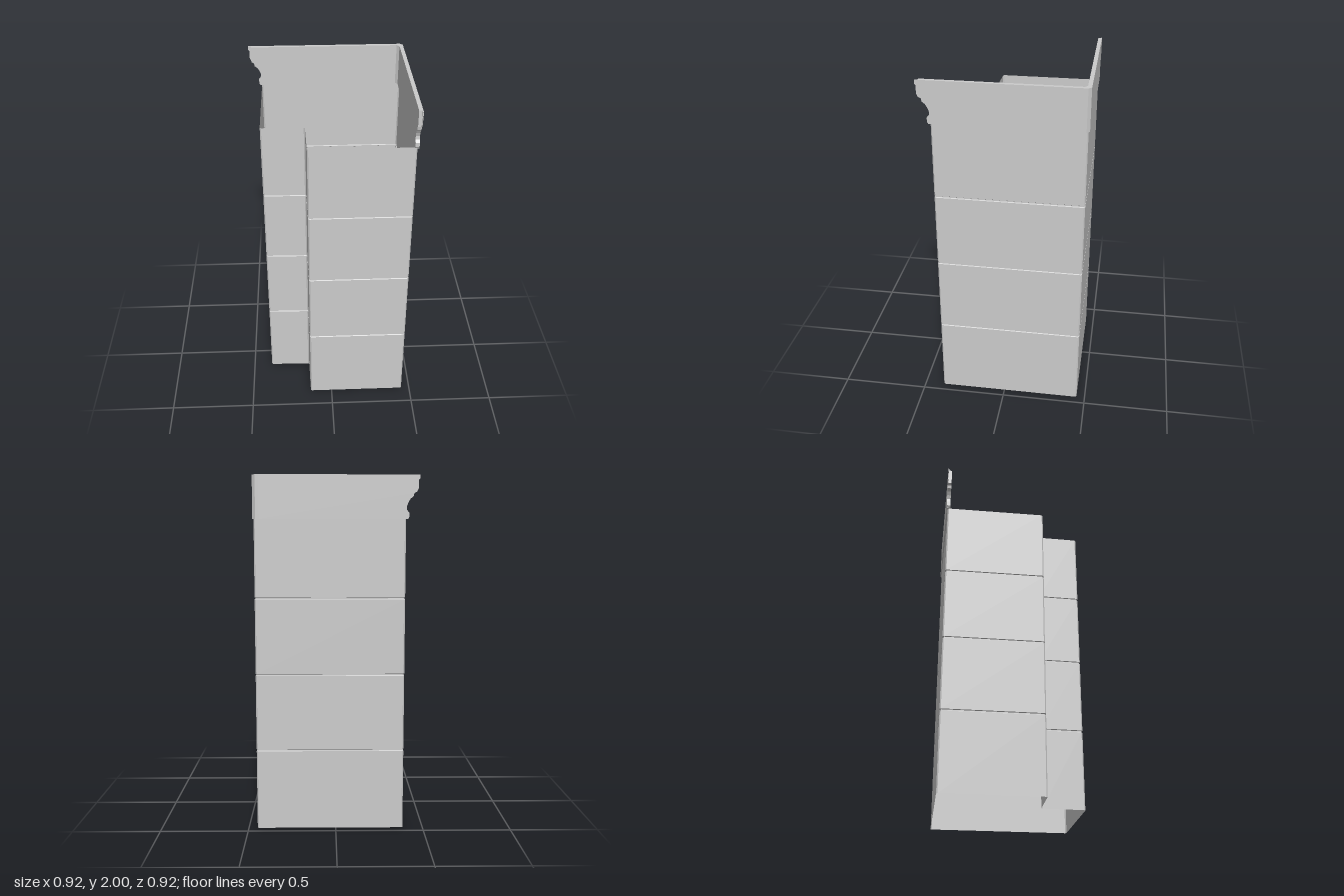
import * as THREE from 'three';

const material = new THREE.MeshStandardMaterial({ color: 0xcccccc, flatShading: true, side: THREE.DoubleSide });
const WALL_TOP = 1.76;

// Stepped footprint [x, z], counterclockwise seen from above
const footprint = [
  [-0.133, 0.386], [0.45, 0.386], [0.45, -0.45], [-0.386, -0.45], [-0.386, 0.132], [-0.138, 0.136],
];

// Replace every corner with a small bevel
function bevelCorners(points, size) {
  const out = [];
  points.forEach((p, i) => {
    const v = new THREE.Vector2(...p);
    const towards = (q) => new THREE.Vector2(...q).sub(v).setLength(size).add(v);
    out.push(towards(points.at(i - 1)), towards(points[(i + 1) % points.length]));
  });
  return out;
}

// Move a closed outline inwards by a distance
function inset(loop, distance) {
  const normal = (a, b) => new THREE.Vector2(a.y - b.y, b.x - a.x).normalize();
  return loop.map((p, i) => {
    const n1 = normal(loop.at(i - 1), p);
    const n2 = normal(p, loop[(i + 1) % loop.length]);
    return p.clone().addScaledVector(n1.clone().add(n2), -distance / (1 + n1.dot(n2)));
  });
}

// Thin open shell through rings at [height, inset]
function shellGeometry(loop, levels) {
  const positions = [];
  const rings = levels.map(([y, d]) => inset(loop, d).map((p) => [p.x, y, p.y]));
  for (let k = 0; k < rings.length - 1; k++) {
    for (let i = 0; i < loop.length; i++) {
      const j = (i + 1) % loop.length;
      const [a, b, c, d] = [rings[k][i], rings[k][j], rings[k + 1][j], rings[k + 1][i]];
      positions.push(...a, ...b, ...c, ...a, ...c, ...d);
    }
  }
  const geometry = new THREE.BufferGeometry();
  geometry.setAttribute('position', new THREE.Float32BufferAttribute(positions, 3));
  geometry.computeVertexNormals();
  return geometry;
}

// Moulded free end of a crown panel, [x, y] from top to bottom
const crownProfile = [
  [-0.459, 2], [-0.459, 1.978], [-0.452, 1.972], [-0.452, 1.928], [-0.444, 1.908], [-0.428, 1.9],
  [-0.424, 1.882], [-0.408, 1.87], [-0.396, 1.85], [-0.388, 1.828], [-0.39, 1.808],
  [-0.402, 1.795], [-0.402, 1.772], [-0.396, 1.762], [-0.396, WALL_TOP],
];

// Panel between two depths; its end reaches no further than limit
function panelGeometry(z0, z1, limit) {
  const points = crownProfile.map(([x, y]) => new THREE.Vector2(Math.max(x, limit), y));
  const shape = new THREE.Shape([...points, new THREE.Vector2(0.42, WALL_TOP), new THREE.Vector2(0.42, 2)]);
  return new THREE.ExtrudeGeometry(shape, { depth: z1 - z0, bevelEnabled: false }).translate(0, 0, z0);
}

export function createModel() {
  const model = new THREE.Group();
  const add = (name, geometry) => {
    const mesh = new THREE.Mesh(geometry, material);
    mesh.name = name;
    model.add(mesh);
  };

  // Walls with three horizontal joint grooves
  const levels = [[0, 0]];
  for (const y of [0.46, 0.895, 1.326]) {
    levels.push([y - 0.006, 0], [y - 0.003, 0.005], [y + 0.003, 0.005], [y + 0.006, 0]);
  }
  levels.push([WALL_TOP, 0]);
  add('walls', shellGeometry(bevelCorners(footprint, 0.007), levels));

  // Crown along the back and the left side
  add('backCrown', panelGeometry(-0.453, -0.435, -0.441));
  add('backCrownFace', panelGeometry(-0.457, -0.453, -1));
  add('sideCrown', panelGeometry(0.435, 0.453, -0.441).rotateY(Math.PI / 2));
  add('sideCrownFace', panelGeometry(0.453, 0.457, -1).rotateY(Math.PI / 2));

  // Bevelled corner joining both crown panels (plan drawn as x, -z)
  const corner = new THREE.Shape([
    [0.42, 0.457], [0.44, 0.457], [0.457, 0.44], [0.457, 0.42], [0.435, 0.42], [0.42, 0.435],
  ].map((p) => new THREE.Vector2(...p)));
  add('crownCorner', new THREE.ExtrudeGeometry(corner, { depth: 2 - WALL_TOP, bevelEnabled: false })
    .rotateX(-Math.PI / 2).translate(0, WALL_TOP, 0));

  return model;
}
